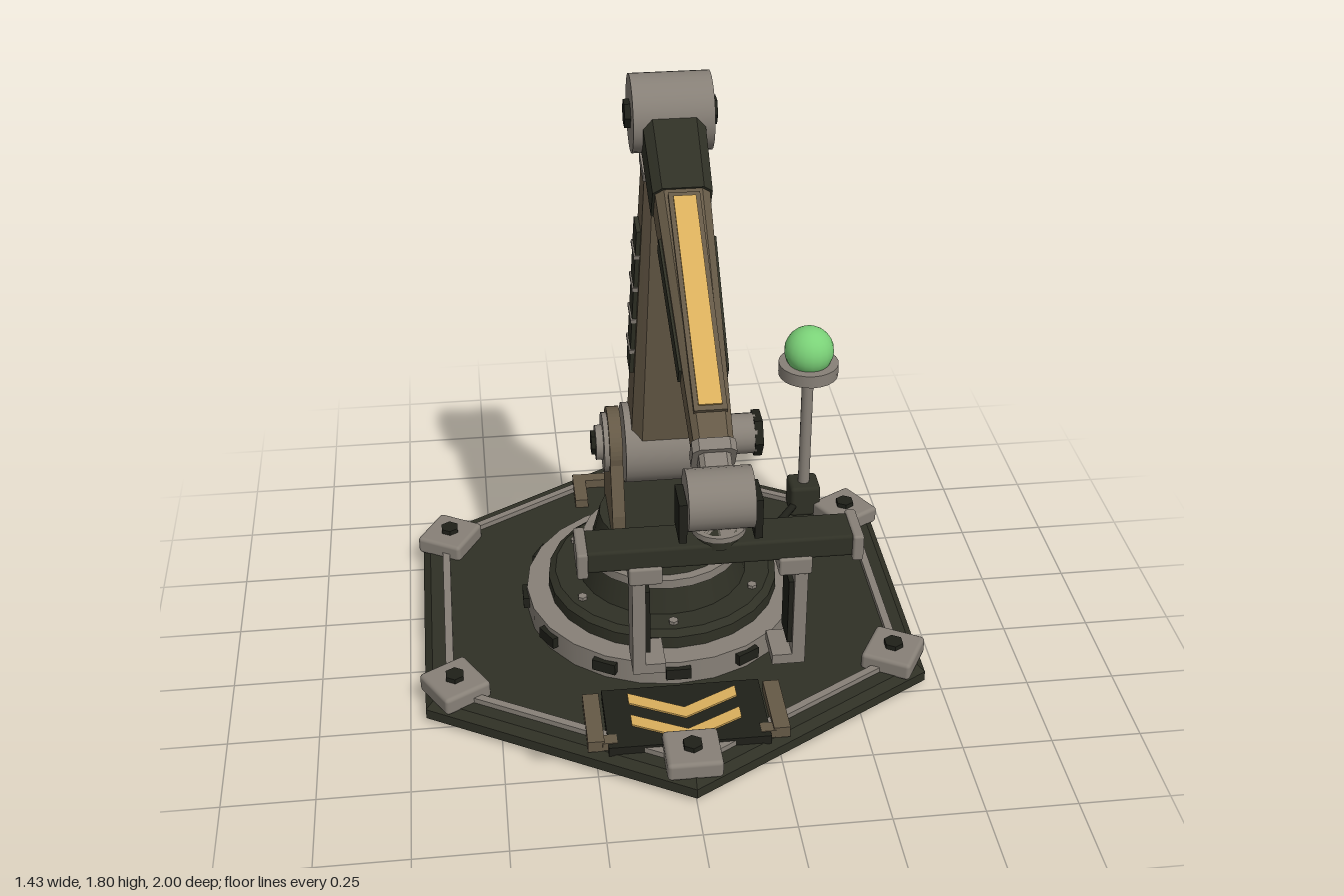
import * as THREE from 'three';
import { RoundedBoxGeometry } from 'three/addons/geometries/RoundedBoxGeometry.js';

const mat = (name, color) => {
  const m = new THREE.MeshStandardMaterial({ color });
  m.name = name;
  return m;
};

export function createModel() {
  const model = new THREE.Group();
  model.name = 'robotArm';
  const grey = mat('warm grey metal', 0x878077);
  const brown = mat('brown paint', 0x655946);
  const dark = mat('dark olive', 0x2f3025);
  const black = mat('black rubber', 0x1f2019);
  const yellow = mat('warning yellow', 0xd9ae5c);
  const green = mat('beacon green', 0x7bd278);

  // --- helpers ---
  const group = (name, parent, x = 0, y = 0, z = 0) => {
    const g = new THREE.Group();
    g.name = name;
    g.position.set(x, y, z);
    parent.add(g);
    return g;
  };
  const add = (parent, name, geo, m, x = 0, y = 0, z = 0) => {
    const mesh = new THREE.Mesh(geo, m);
    mesh.name = name;
    mesh.position.set(x, y, z);
    parent.add(mesh);
    return mesh;
  };
  const flat = (geo) => {
    const g = geo.index ? geo.toNonIndexed() : geo;
    g.computeVertexNormals();
    return g;
  };
  const box = (p, name, m, w, h, d, x, y, z) => add(p, name, new THREE.BoxGeometry(w, h, d), m, x, y, z);
  const softBox = (p, name, m, w, h, d, x, y, z, r = 0.012) =>
    add(p, name, new RoundedBoxGeometry(w, h, d, 2, r), m, x, y, z);
  // upright cylinder from y0 to y1
  const cyl = (p, name, m, r0, r1, y0, y1, sides = 24, x = 0, z = 0) => {
    const g = new THREE.CylinderGeometry(r1, r0, y1 - y0, sides);
    return add(p, name, sides < 9 ? flat(g) : g, m, x, (y0 + y1) / 2, z);
  };
  // cylinder lying along x, from x0 to x1
  const axle = (p, name, m, r, x0, x1, sides = 24, y = 0, z = 0) => {
    const g = new THREE.CylinderGeometry(r, r, x1 - x0, sides).rotateZ(Math.PI / 2);
    return add(p, name, sides < 9 ? flat(g) : g, m, (x0 + x1) / 2, y, z);
  };
  // chamfered tapering beam along y; w and d are half sizes at each end
  const beam = (p, name, m, y0, w0, d0, y1, w1, d1, c = 0.7) => {
    const pts = [[1, -c], [1, c], [c, 1], [-c, 1], [-1, c], [-1, -c], [-c, -1], [c, -1]];
    const shape = new THREE.Shape(pts.map(([a, b]) => new THREE.Vector2(a, b)));
    const g = new THREE.ExtrudeGeometry(shape, { depth: 1, bevelEnabled: false }).rotateX(-Math.PI / 2);
    const a = g.attributes.position;
    for (let i = 0; i < a.count; i++) {
      const t = a.getY(i);
      a.setXYZ(i, a.getX(i) * (w0 + (w1 - w0) * t), y0 + (y1 - y0) * t, a.getZ(i) * (d0 + (d1 - d0) * t));
    }
    return add(p, name, flat(g), m);
  };
  const tube = (p, name, m, r, pts) => {
    const curve = new THREE.CatmullRomCurve3(pts.map((v) => new THREE.Vector3(...v)), false, 'catmullrom', 0.2);
    return add(p, name, new THREE.TubeGeometry(curve, 24, r, 8), m);
  };
  // straight rod between two points in the plane x = x
  const rod = (p, name, m, r, [ya, za], [yb, zb], x = 0, sides = 14) => {
    const len = Math.hypot(yb - ya, zb - za);
    const mesh = add(p, name, new THREE.CylinderGeometry(r, r, len, sides), m, x, (ya + yb) / 2, (za + zb) / 2);
    mesh.rotation.x = Math.atan2(zb - za, yb - ya);
    return mesh;
  };

  // --- hexagonal platform ---
  const base = group('platform', model, 0, 0, -0.185);
  cyl(base, 'platformFoot', black, 0.795, 0.815, 0, 0.015, 6);
  cyl(base, 'platformSlab', dark, 0.815, 0.815, 0.015, 0.045, 6);
  cyl(base, 'platformChamfer', dark, 0.815, 0.79, 0.045, 0.064, 6);
  for (let i = 0; i < 6; i++) {
    const corner = group('platformCorner', base);
    corner.rotation.y = (i * Math.PI) / 3;
    softBox(corner, 'cornerBlock', grey, 0.15, 0.055, 0.145, 0, 0.083, 0.717);
    cyl(corner, 'cornerBolt', black, 0.028, 0.028, 0.11, 0.125, 6, 0, 0.717);
    const side = group('platformSide', base);
    side.rotation.y = ((i + 0.5) * Math.PI) / 3;
    box(side, 'edgeRail', grey, 0.62, 0.02, 0.022, 0, 0.07, 0.635);
  }

  // --- deck fittings ---
  const deck = group('deckFittings', model);
  box(deck, 'hatchPlate', black, 0.44, 0.028, 0.24, 0, 0.074, 0.37);
  for (const z of [0.28, 0.37]) {
    const v = [[-0.15, 0], [0, 0.075], [0.15, 0], [0.15, 0.042], [0, 0.117], [-0.15, 0.042]];
    const shape = new THREE.Shape(v.map(([a, b]) => new THREE.Vector2(a, b)));
    const g = new THREE.ExtrudeGeometry(shape, { depth: 0.006, bevelEnabled: false }).rotateX(Math.PI / 2);
    add(deck, 'hazardChevron', g, yellow, 0, 0.093, z - 0.005);
  }
  box(deck, 'rearBracket', brown, 0.44, 0.03, 0.04, 0, 0.077, -0.82);
  for (const s of [-1, 1]) {
    box(deck, 'rearBracketLeg', brown, 0.04, 0.03, 0.11, s * 0.2, 0.077, -0.745);
    box(deck, 'hatchSideBar', brown, 0.045, 0.034, 0.2, s * 0.252, 0.079, 0.37);
    box(deck, 'hatchBarFoot', brown, 0.04, 0.024, 0.035, s * 0.215, 0.078, 0.455);
  }

  // --- turntable ---
  const table = group('turntable', model, 0, 0, -0.185);
  cyl(table, 'turntableRing', grey, 0.4, 0.4, 0.06, 0.138, 24);
  for (let i = 0; i < 12; i++) {
    const slot = group('ringSlot', table);
    slot.rotation.y = (i * Math.PI) / 6;
    box(slot, 'ringPad', black, 0.07, 0.034, 0.03, 0, 0.106, 0.398);
  }
  cyl(table, 'turntableDiscLower', dark, 0.335, 0.335, 0.138, 0.175);
  cyl(table, 'turntableDiscUpper', dark, 0.335, 0.315, 0.175, 0.19);
  for (let i = 0; i < 6; i++) {
    const a = (i * Math.PI) / 3;
    cyl(table, 'discBolt', grey, 0.014, 0.014, 0.19, 0.2, 6, 0.284 * Math.sin(a), 0.284 * Math.cos(a));
  }
  cyl(table, 'hubSkirt', dark, 0.245, 0.225, 0.19, 0.27);
  cyl(table, 'hubBand', grey, 0.232, 0.232, 0.27, 0.298);
  cyl(table, 'hubCap', dark, 0.205, 0.182, 0.298, 0.385);

  // --- rear motor housing with fins ---
  const motor = group('motorHousing', model);
  softBox(motor, 'motorBox', dark, 0.2, 0.175, 0.18, 0, 0.298, -0.415, 0.02);
  for (let i = 0; i < 3; i++) softBox(motor, 'motorFin', grey, 0.215, 0.014, 0.15, 0, 0.26 + i * 0.042, -0.437, 0.005);

  // --- yoke and shoulder ---
  const py = 0.63, pz = -0.18;
  const cheek = new THREE.Shape();
  cheek.moveTo(-0.32, 0.29);
  cheek.lineTo(-0.03, 0.29);
  cheek.lineTo(-0.035, 0.47);
  cheek.lineTo(-0.082, 0.61);
  cheek.absarc(pz, py, 0.1, 0, Math.PI, false);
  cheek.lineTo(-0.285, 0.55);
  cheek.lineTo(-0.32, 0.45);
  const shoulder = group('shoulder', model);
  for (const s of [-1, 1]) {
    const g = new THREE.ExtrudeGeometry(cheek, { depth: 0.036, bevelEnabled: false, curveSegments: 12 });
    g.translate(0, 0, -0.018).rotateY(-Math.PI / 2);
    add(shoulder, 'yokeCheek', g, brown, s * 0.138, 0, 0);
    axle(shoulder, 'yokeBoss', grey, 0.085, s * 0.162 - 0.008, s * 0.162 + 0.008, 20, py, pz);
  }
  axle(shoulder, 'shoulderDrum', grey, 0.114, -0.112, 0.112, 28, py - 0.005, pz);
  axle(shoulder, 'shoulderMotor', grey, 0.058, 0.16, 0.265, 20, py, pz);
  axle(shoulder, 'shoulderMotorCap', black, 0.066, 0.258, 0.282, 6, py, pz);
  axle(shoulder, 'shoulderPinHead', grey, 0.05, -0.19, -0.16, 16, py, pz);
  axle(shoulder, 'shoulderPinNut', black, 0.034, -0.202, -0.188, 6, py, pz);
  tube(shoulder, 'powerHose', black, 0.013,
    [[0.22, 0.6, -0.21], [0.217, 0.5, -0.31], [0.17, 0.42, -0.41], [0.09, 0.37, -0.45]]);

  // --- lower arm (local y runs along it) ---
  const elbowY = 1.7, elbowZ = 0.01;
  const lower = group('lowerArm', model, 0, py, pz);
  lower.rotation.x = Math.atan2(elbowZ - pz, elbowY - py);
  beam(lower, 'lowerArmBeam', brown, 0.06, 0.094, 0.085, 0.93, 0.066, 0.058);
  beam(lower, 'lowerArmBand', grey, 0.915, 0.07, 0.064, 0.94, 0.07, 0.064);
  beam(lower, 'lowerArmTip', brown, 0.94, 0.062, 0.056, 0.99, 0.055, 0.04);
  for (const s of [-1, 1]) {
    const panel = group('lowerArmSidePanel', lower, s * 0.083, 0.515, 0);
    panel.rotation.z = s * 0.032;
    box(panel, 'sidePanel', dark, 0.016, 0.47, 0.07, 0, 0, 0);
    for (let i = 0; i < 4; i++) box(panel, 'panelRung', grey, 0.024, 0.012, 0.076, 0, -0.16 + i * 0.105, 0);
  }

  // --- hydraulic strut behind the lower arm ---
  const strut = group('hydraulicStrut', model);
  rod(strut, 'strutRod', grey, 0.017, [1.49, -0.11], [1.1, -0.2]);
  rod(strut, 'strutBarrel', dark, 0.036, [1.145, -0.195], [0.785, -0.272], 0, 18);
  box(strut, 'strutUpperLug', grey, 0.05, 0.04, 0.07, 0, 1.48, -0.095);
  box(strut, 'strutLowerLug', grey, 0.06, 0.035, 0.1, 0, 0.775, -0.232);

  // --- elbow ---
  const elbow = group('elbow', model, 0, elbowY, elbowZ);
  axle(elbow, 'elbowDrum', grey, 0.098, -0.1, 0.1, 28);
  for (const s of [-1, 1]) axle(elbow, 'elbowNut', black, 0.036, s * 0.105 - 0.01, s * 0.105 + 0.01, 6);

  // --- upper arm (local y runs to the wrist, local -z is its top) ---
  const wristY = 1.17, wristZ = 0.93;
  const upper = group('upperArm', model, 0, elbowY, elbowZ);
  upper.rotation.x = Math.atan2(wristZ - elbowZ, wristY - elbowY);
  beam(upper, 'upperArmSleeve', dark, 0.07, 0.077, 0.066, 0.275, 0.072, 0.064);
  beam(upper, 'upperArmBeam', brown, 0.275, 0.066, 0.059, 0.94, 0.045, 0.042);
  beam(upper, 'upperArmBand', grey, 0.935, 0.05, 0.046, 0.965, 0.05, 0.046);
  beam(upper, 'wristNeck', grey, 0.96, 0.036, 0.032, 1.02, 0.036, 0.032);
  const strip = group('topStrip', upper, 0, 0.58, -0.053);
  strip.rotation.x = 0.0255;
  box(strip, 'stripFrame', brown, 0.076, 0.58, 0.016, 0, 0, 0);
  box(strip, 'yellowStrip', yellow, 0.054, 0.555, 0.006, 0, 0, -0.01);
  for (const s of [-1, 1]) {
    const p = box(upper, 'upperArmSidePanel', dark, 0.012, 0.36, 0.05, s * 0.057, 0.57, 0);
    p.rotation.z = s * 0.031;
  }
  rod(upper, 'pushRod', black, 0.012, [0.09, 0.09], [0.95, 0.052]);
  for (const y of [0.3, 0.74]) box(upper, 'pushRodClip', grey, 0.035, 0.022, 0.05, 0, y, 0.062);

  // --- wrist ---
  const wrist = group('wrist', model, 0, wristY, wristZ);
  axle(wrist, 'wristDrum', grey, 0.07, -0.074, 0.074, 24);
  for (const s of [-1, 1]) box(wrist, 'wristCheek', black, 0.018, 0.1, 0.085, s * 0.084, -0.035, 0);
  cyl(wrist, 'wristFlange', grey, 0.062, 0.062, -0.08, -0.066, 20);
  cyl(wrist, 'wristStem', dark, 0.052, 0.052, -0.105, -0.066, 16);

  // --- gripper ---
  const grip = group('gripper', model, 0, 0, wristZ);
  softBox(grip, 'gripperBar', dark, 0.6, 0.055, 0.095, 0, 1.05, 0, 0.008);
  for (const s of [-1, 1]) {
    softBox(grip, 'barEndCap', grey, 0.025, 0.066, 0.112, s * 0.307, 1.047, 0, 0.006);
    softBox(grip, 'fingerClamp', grey, 0.075, 0.045, 0.11, s * 0.168, 1.008, 0, 0.006);
    box(grip, 'finger', grey, 0.03, 0.265, 0.095, s * 0.183, 0.865, 0);
    box(grip, 'fingerFoot', grey, 0.075, 0.026, 0.095, s * 0.16, 0.745, 0);
    box(grip, 'fingerPad', black, 0.012, 0.17, 0.075, s * 0.163, 0.87, 0);
    box(grip, 'barMark', yellow, 0.05, 0.026, 0.006, s * 0.04, 1.05, -0.049);
  }

  // --- signal beacon ---
  const bx = 0.5, bz = -0.61;
  const beacon = group('beacon', model, bx, 0, bz);
  softBox(beacon, 'beaconFoot', dark, 0.095, 0.105, 0.095, 0, 0.113, 0);
  cyl(beacon, 'beaconPole', grey, 0.018, 0.018, 0.16, 0.56, 14);
  cyl(beacon, 'beaconCollar', grey, 0.03, 0.03, 0.545, 0.562, 16);
  cyl(beacon, 'beaconDish', grey, 0.092, 0.092, 0.56, 0.6, 24);
  add(beacon, 'beaconLamp', new THREE.SphereGeometry(0.076, 20, 14), green, 0, 0.641, 0);
  tube(model, 'beaconCable', black, 0.012, [[0.47, 0.1, -0.58], [0.4, 0.085, -0.5], [0.28, 0.1, -0.4]]);

  return model;
}
